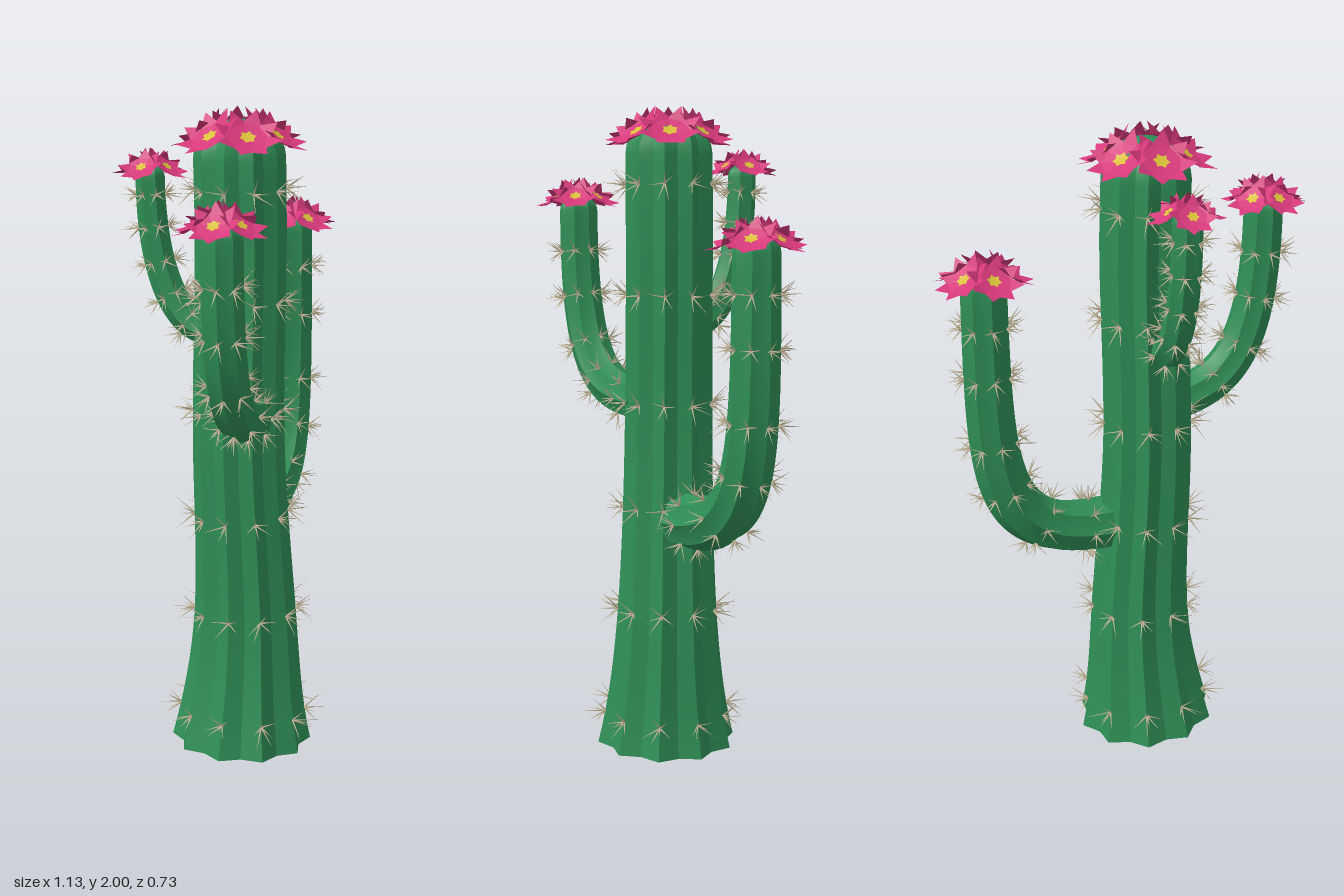
import * as THREE from 'three';
import { mergeGeometries, toCreasedNormals } from 'three/addons/utils/BufferGeometryUtils.js';

const V = (x, y, z) => new THREE.Vector3(x, y, z);
const UP = V(0, 1, 0);

// Small seeded random for spine variation
let seed = 7;
const rand = () => (seed = (seed * 16807) % 2147483647) / 2147483647;

// Rings along a curve, closed by a dome
function makeRings(curve, radius, ref, domeHeight) {
  const n = 30;
  const rings = [];
  let u = ref;
  let length = 0;
  for (let i = 0; i <= n; i++) {
    const c = curve.getPoint(i / n);
    const t = curve.getTangent(i / n);
    u = u.clone().addScaledVector(t, -u.dot(t)).normalize();
    if (i) length += c.distanceTo(rings[i - 1].c);
    rings.push({ c, t, u, v: t.clone().cross(u), r: radius(i / n, c.y), length });
  }
  const end = rings[n];
  for (let k = 1; k <= 6; k++) {
    const a = (k / 6) * Math.PI / 2;
    rings.push({ ...end, c: end.c.clone().addScaledVector(end.t, domeHeight * Math.sin(a)),
      r: Math.max(end.r * Math.cos(a), 0.0005), length: Infinity });
  }
  return rings;
}

const onRing = (g, angle, r) => g.c.clone()
  .addScaledVector(g.u, Math.cos(angle) * r).addScaledVector(g.v, Math.sin(angle) * r);

// Ribbed skin: alternating crests and grooves around each ring
function ribbedGeometry(rings, ribs) {
  const sides = ribs * 2;
  const pos = [];
  const index = [];
  for (const g of rings) {
    for (let j = 0; j < sides; j++) {
      pos.push(...onRing(g, j * Math.PI / ribs, g.r * (j % 2 ? 0.87 : 1)).toArray());
    }
  }
  for (let i = 0; i < rings.length - 1; i++) {
    for (let j = 0; j < sides; j++) {
      const a = i * sides + j;
      const b = i * sides + (j + 1) % sides;
      index.push(a, b, b + sides, a, b + sides, a + sides);
    }
  }
  const centre = pos.length / 3;
  pos.push(...rings[0].c.toArray());
  for (let j = 0; j < sides; j++) index.push(centre, (j + 1) % sides, j);
  const geo = new THREE.BufferGeometry();
  geo.setAttribute('position', new THREE.Float32BufferAttribute(pos, 3));
  geo.setIndex(index);
  return toCreasedNormals(geo, 0.38);
}

// Clusters of thin spines on every crest at regular distances
function spineGeometry(rings, ribs, spacing, size) {
  const cones = [];
  let next = 0.06;
  for (const g of rings) {
    if (g.length < next || g.length === Infinity) continue;
    next += spacing;
    for (let j = 0; j < ribs; j++) {
      const root = onRing(g, j * 2 * Math.PI / ribs, g.r * 0.99);
      const out = root.clone().sub(g.c).normalize();
      const side = g.t.clone().cross(out);
      for (let k = 0; k < 6; k++) {
        const a = (k / 5) * 2 * Math.PI + rand();
        const spread = k === 5 ? 0.1 : 1;
        const dir = out.clone().addScaledVector(side, Math.cos(a) * spread)
          .addScaledVector(g.t, Math.sin(a) * spread).normalize();
        const len = size * (0.75 + rand() * 0.5);
        const cone = new THREE.ConeGeometry(0.003, len, 4, 1, true).translate(0, len / 2, 0);
        cone.applyQuaternion(new THREE.Quaternion().setFromUnitVectors(UP, dir));
        cones.push(cone.translate(root.x, root.y, root.z));
      }
    }
  }
  return mergeGeometries(cones);
}

// Cupped star of pointed, kite-shaped petals
function starGeometry(count, radius, cup, width, lift) {
  const pos = [];
  for (let i = 0; i < count; i++) {
    const a = (i / count) * Math.PI * 2;
    const at = (r, w) => [Math.cos(a) * r + Math.sin(a) * w, lift + cup * r * r / radius,
      -Math.sin(a) * r + Math.cos(a) * w];
    const left = at(radius * 0.55, radius * width);
    const right = at(radius * 0.55, -radius * width);
    pos.push(...at(0, 0), ...left, ...right, ...right, ...left, ...at(radius, 0));
  }
  const geo = new THREE.BufferGeometry();
  geo.setAttribute('position', new THREE.Float32BufferAttribute(pos, 3));
  geo.computeVertexNormals();
  return geo;
}

// Arm that leaves the trunk level and bends upward
function armCurve(start, tip, reach, rise) {
  const out = start.clone().lerp(tip, reach).setY(start.y);
  const bend = tip.clone().setY(THREE.MathUtils.lerp(start.y, tip.y, rise));
  return new THREE.CubicBezierCurve3(start, out, bend, tip);
}

const taper = (r0, r1) => t => THREE.MathUtils.lerp(r0, r1, t);

export function createModel() {
  const mat = (name, color, side = THREE.FrontSide) => {
    const m = new THREE.MeshStandardMaterial({ color, side });
    m.name = name;
    return m;
  };
  const green = mat('cactus green', 0x2f8f57);
  const beige = mat('spine beige', 0xcabd9e);
  const pink = mat('petal pink', 0xd6387a, THREE.DoubleSide);
  const yellow = mat('flower yellow', 0xd9bf38, THREE.DoubleSide);

  const model = new THREE.Group();
  model.name = 'cactus';
  const add = (parent, name, geo, material) => {
    const m = new THREE.Mesh(geo, material);
    m.name = name;
    parent.add(m);
  };

  // One ribbed limb with spines and a crown of flowers leaning outward
  function addLimb(name, curve, radius, ref, { ribs, dome, spacing, spine, petal, flowers, ring, lift, phase }) {
    const part = new THREE.Group();
    part.name = name;
    model.add(part);
    const rings = makeRings(curve, radius, ref, dome);
    add(part, name + 'Body', ribbedGeometry(rings, ribs), green);
    add(part, name + 'Spines', spineGeometry(rings, ribs, spacing, spine), beige);
    const tip = curve.getPoint(1);
    for (let i = 0; i < flowers; i++) {
      const a = phase + (i / flowers) * Math.PI * 2;
      const out = V(Math.cos(a), 0, Math.sin(a));
      const flower = new THREE.Group();
      flower.name = 'flower';
      flower.position.copy(tip).addScaledVector(out, ring).addScaledVector(UP, lift);
      flower.quaternion.setFromUnitVectors(UP, out.multiplyScalar(0.75).add(UP).normalize());
      flower.rotateY(i * 0.9);
      add(flower, 'petals', starGeometry(8, petal, 0.3, 0.29, 0), pink);
      add(flower, 'flowerCentre', starGeometry(6, petal * 0.26, 0.1, 0.38, 0.009), yellow);
      part.add(flower);
    }
  }

  // Trunk, slightly wavy and flared at the foot
  const trunk = new THREE.CatmullRomCurve3([V(-0.065, 0, 0.01), V(-0.045, 0.4, 0.01), V(-0.065, 1, 0),
    V(-0.053, 1.6, 0), V(-0.058, 1.845, 0)]);
  addLimb('trunk', trunk, (t, y) => 0.136 + 0.084 * Math.exp(-3 * y), V(0, 0, 1),
    { ribs: 10, dome: 0.11, spacing: 0.335, spine: 0.07, petal: 0.1, flowers: 6, ring: 0.11, lift: 0.06, phase: -1.9 });

  // Arms
  addLimb('leftArm', armCurve(V(0.06, 0.73, -0.02), V(0.415, 1.56, -0.15), 1, 0.265), taper(0.085, 0.071), UP,
    { ribs: 8, dome: 0.06, spacing: 0.17, spine: 0.055, petal: 0.085, flowers: 5, ring: 0.07, lift: 0.035, phase: -2.04 });
  addLimb('rightArm', armCurve(V(-0.08, 1.085, 0.075), V(-0.43, 1.67, 0.22), 0.7, 0.2), taper(0.068, 0.062), UP,
    { ribs: 8, dome: 0.05, spacing: 0.15, spine: 0.055, petal: 0.08, flowers: 5, ring: 0.062, lift: 0.04, phase: -2.2 });
  addLimb('backArm', armCurve(V(-0.1, 1.33, -0.08), V(-0.16, 1.78, -0.255), 0.6, 0.4), taper(0.052, 0.045), UP,
    { ribs: 7, dome: 0.035, spacing: 0.1, spine: 0.05, petal: 0.07, flowers: 4, ring: 0.05, lift: 0.025, phase: -1.75 });
  return model;
}
